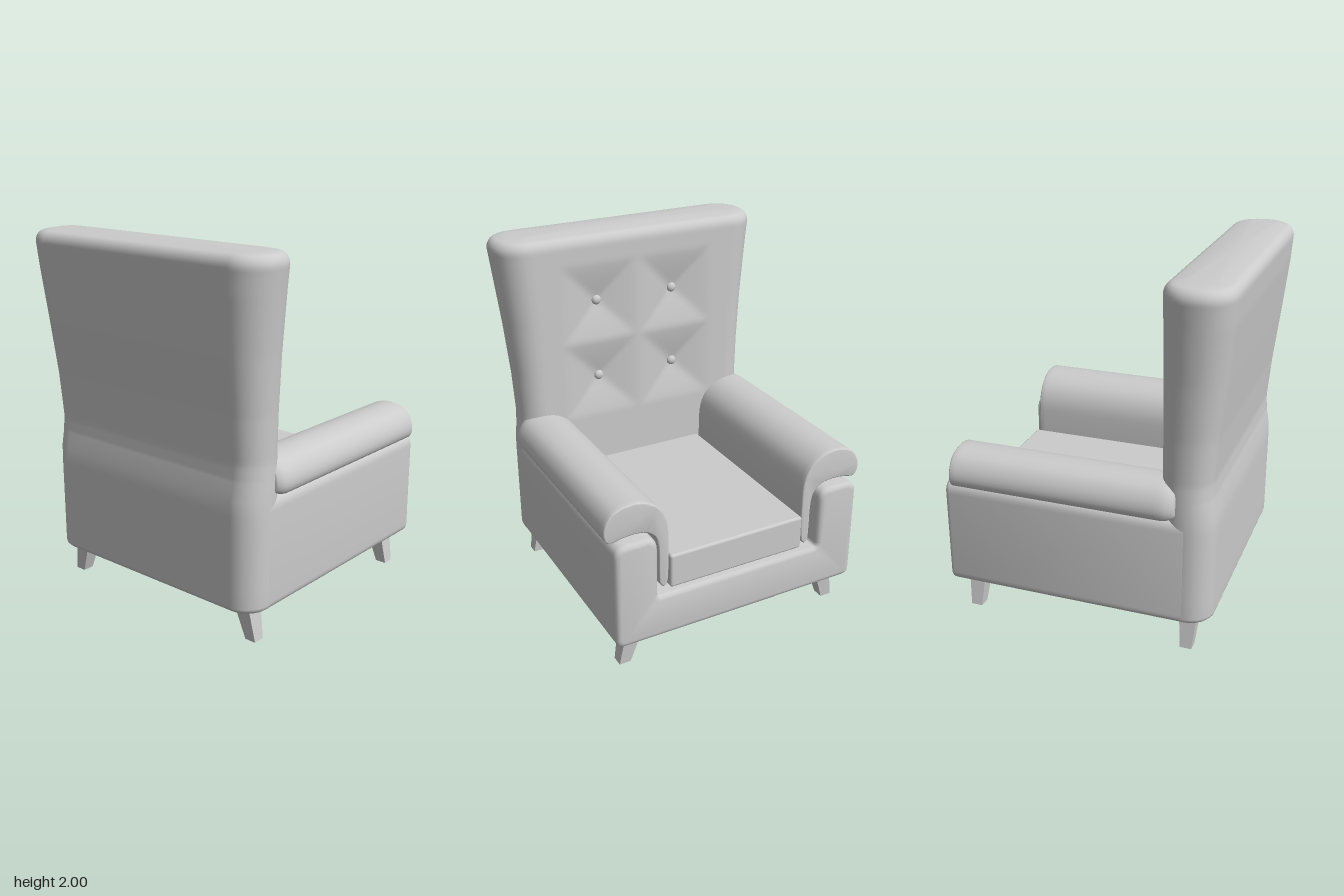
import * as THREE from 'three';
import { toCreasedNormals } from 'three/addons/utils/BufferGeometryUtils.js';
import { RoundedBoxGeometry } from 'three/addons/geometries/RoundedBoxGeometry.js';

const material = new THREE.MeshStandardMaterial({ color: 0xcccccc });
const BUTTON_Y = [1.14, 1.6], BUTTON_Z = 0.24, TUFT_DEPTH = 0.05, FRONT_X = -0.42;

function add(parent, name, geometry) {
  const mesh = new THREE.Mesh(geometry, material);
  mesh.name = name;
  parent.add(mesh);
  return mesh;
}

// Extrudes a (z, y) outline along x from x0 to x1 with rounded ends
function extrudeAlongX(shape, x0, x1, bevel, steps = 1) {
  const g = new THREE.ExtrudeGeometry(shape, {
    depth: x1 - x0 - 2 * bevel, steps, curveSegments: 8,
    bevelThickness: bevel, bevelSize: bevel, bevelOffset: -bevel, bevelSegments: 3,
  });
  g.rotateY(Math.PI / 2);
  g.translate(x0 + bevel, 0, 0);
  return g;
}

// Polygon with every corner rounded; corners are [x, y, radius]
function roundedShape(corners) {
  const s = new THREE.Shape(), n = corners.length;
  const toward = (p, q) => {
    const t = p[2] / Math.hypot(q[0] - p[0], q[1] - p[1]);
    return [p[0] + (q[0] - p[0]) * t, p[1] + (q[1] - p[1]) * t];
  };
  corners.forEach((p, i) => {
    const a = toward(p, corners[(i + n - 1) % n]), b = toward(p, corners[(i + 1) % n]);
    if (i === 0) s.moveTo(...a); else s.lineTo(...a);
    s.quadraticCurveTo(p[0], p[1], b[0], b[1]);
  });
  s.closePath();
  return s;
}

// Depth of the pyramid-shaped tufting around the buttons
function tuft(y, z) {
  let d = 0;
  for (const by of BUTTON_Y) {
    const r = Math.max(Math.abs(Math.abs(z) - BUTTON_Z) / 0.23, Math.abs(y - by) / 0.23);
    d = Math.max(d, 1 - r);
  }
  return TUFT_DEPTH * Math.pow(d, 1.25);
}

// Back: rounded sections stacked upward, flaring toward the top
function backGeometry() {
  // y, rear x, half width
  const keys = [[0.18, -0.71, 0.727], [0.77, -0.71, 0.727], [0.85, -0.692, 0.722], [0.96, -0.685, 0.718],
    [1.2, -0.705, 0.728], [1.5, -0.74, 0.752], [1.8, -0.77, 0.785], [1.93, -0.777, 0.8], [2, -0.777, 0.8]];
  const rows = [];
  for (let i = 0; i <= 3; i++) {
    const a = (i / 3) * Math.PI / 2;
    rows.push([0.18 + 0.03 * (1 - Math.sin(a)), 0.03 * (1 - Math.cos(a))]);
  }
  rows.reverse();
  rows.forEach((r, i) => {
    const a = (i / 3) * Math.PI / 2;
    r[0] = 0.18 + 0.03 * (1 - Math.cos(a));
    r[1] = 0.03 * (1 - Math.sin(a));
  });
  for (let y = 0.3; y < 0.85; y += 0.08) rows.push([y, 0]);
  for (let y = 0.87; y < 1.92; y += 0.02) rows.push([y, 0]);
  for (let i = 0; i <= 6; i++) {
    const a = (i / 6) * Math.PI / 2;
    rows.push([1.925 + 0.06 * Math.sin(a), 0.05 * (1 - Math.cos(a))]);
  }
  rows.push([1.995, 0.1]);

  const FRONT = 60, ARC = 8, pos = [], idx = [];
  let n = 0, cx = 0;
  for (const [y, inset] of rows) {
    let k = 0;
    while (k < keys.length - 2 && y > keys[k + 1][0]) k++;
    const t = (y - keys[k][0]) / (keys[k + 1][0] - keys[k][0]);
    const rear = THREE.MathUtils.lerp(keys[k][1], keys[k + 1][1], t) + inset;
    const b = THREE.MathUtils.lerp(keys[k][2], keys[k + 1][2], t) - inset;
    const front = FRONT_X - inset, a = (front - rear) / 2, r = Math.min(0.165, a * 0.93);
    cx = (front + rear) / 2;
    const w = b - r, start = pos.length;
    const arc = (sx, sz, from) => {
      for (let i = 1; i < ARC; i++) {
        const q = from + (i / ARC) * Math.PI / 2;
        pos.push(cx + sx * (a - r) + r * Math.cos(q), y, sz * w + r * Math.sin(q));
      }
    };
    for (let i = 0; i <= FRONT; i++) {
      const z = -w + (2 * w * i) / FRONT;
      pos.push(front - tuft(y, z), y, z);
    }
    arc(1, 1, 0);
    pos.push(cx + a - r, y, b, cx - a + r, y, b);
    arc(-1, 1, Math.PI / 2);
    for (let i = 0; i <= 8; i++) pos.push(rear, y, w - (2 * w * i) / 8);
    arc(-1, -1, Math.PI);
    pos.push(cx - a + r, y, -b, cx + a - r, y, -b);
    arc(1, -1, Math.PI * 1.5);
    n = (pos.length - start) / 3;
  }
  const last = (rows.length - 1) * n, bottom = rows.length * n, top = bottom + 1;
  pos.push(-0.565, 0.18, 0, cx, 2, 0);
  for (let i = 0; i < n; i++) {
    const i2 = (i + 1) % n;
    for (let j = 0; j < rows.length - 1; j++) {
      const o = j * n, u = o + n;
      idx.push(o + i, u + i, o + i2, o + i2, u + i, u + i2);
    }
    idx.push(bottom, i, i2, top, last + i2, last + i);
  }
  const g = new THREE.BufferGeometry();
  g.setAttribute('position', new THREE.Float32BufferAttribute(pos, 3));
  g.setIndex(idx);
  g.computeVertexNormals();
  return g;
}

// Armrest: hooked roll over the side wall, softened at its rear end
function armGeometry(side) {
  const outer = [[0.755, 0.79], [0.768, 0.83], [0.755, 0.89], [0.71, 0.945], [0.62, 0.97], [0.53, 0.955],
    [0.455, 0.9], [0.417, 0.82], [0.408, 0.72], [0.411, 0.5], [0.418, 0.45], [0.437, 0.433], [0.456, 0.45],
    [0.462, 0.5], [0.466, 0.68], [0.485, 0.745], [0.53, 0.782], [0.6, 0.795], [0.68, 0.788], [0.735, 0.778]];
  const pts = outer.map(([z, y]) => new THREE.Vector2(-side * z, y));
  const curve = new THREE.CatmullRomCurve3(pts.map(p => new THREE.Vector3(p.x, p.y, 0)), true);
  const shape = new THREE.Shape(curve.getPoints(60).slice(0, -1).map(p => new THREE.Vector2(p.x, p.y)));
  const g = extrudeAlongX(shape, -0.52, 0.71, 0.008, 40);
  const p = g.attributes.position;
  for (let i = 0; i < p.count; i++) {
    const t = Math.min(1, (-0.44 - p.getX(i)) / 0.08);
    if (t <= 0 || p.getY(i) < 0.75) continue;
    const k = 0.72 + 0.28 * Math.sqrt(1 - t * t);
    p.setY(i, 0.875 + (p.getY(i) - 0.875) * k);
    p.setZ(i, side * 0.62 + (p.getZ(i) - side * 0.62) * k);
  }
  return toCreasedNormals(g, 0.6);
}

// Leg: square taper splayed outward
function legGeometry(side) {
  const g = new THREE.CylinderGeometry(0.068, 0.045, 0.19, 4, 1).toNonIndexed();
  g.rotateY(Math.PI / 4);
  g.translate(0, 0.095, 0);
  const p = g.attributes.position;
  for (let i = 0; i < p.count; i++) p.setZ(i, p.getZ(i) + side * (0.645 - p.getY(i) * 0.25));
  g.computeVertexNormals();
  return g;
}

export function createModel() {
  const chair = new THREE.Group();
  chair.name = 'armchair';

  // U-shaped body with a notch for the seat
  const body = roundedShape([[-0.728, 0.175, 0.05], [0.728, 0.175, 0.05], [0.728, 0.78, 0.07], [0.49, 0.78, 0.07],
    [0.49, 0.425, 0.02], [-0.49, 0.425, 0.02], [-0.49, 0.78, 0.07], [-0.728, 0.78, 0.07]]);
  add(chair, 'body', toCreasedNormals(extrudeAlongX(body, -0.59, 0.77, 0.028), 0.6));

  add(chair, 'back', backGeometry());

  const cushion = add(chair, 'seatCushion', new RoundedBoxGeometry(1.21, 0.195, 0.808, 3, 0.015));
  cushion.position.set(0.125, 0.523, -0.004);

  for (const side of [1, -1]) {
    const label = side > 0 ? 'left' : 'right';
    add(chair, label + 'Armrest', armGeometry(side)).position.z = -0.008;
    for (const [end, x] of [['Rear', -0.58], ['Front', 0.645]])
      add(chair, label + end + 'Leg', legGeometry(side)).position.x = x;
    for (const y of BUTTON_Y) {
      const button = add(chair, 'button', new THREE.SphereGeometry(0.028, 16, 10));
      button.scale.x = 0.7;
      button.position.set(FRONT_X - TUFT_DEPTH + 0.008, y, side * BUTTON_Z);
    }
  }
  return chair;
}
